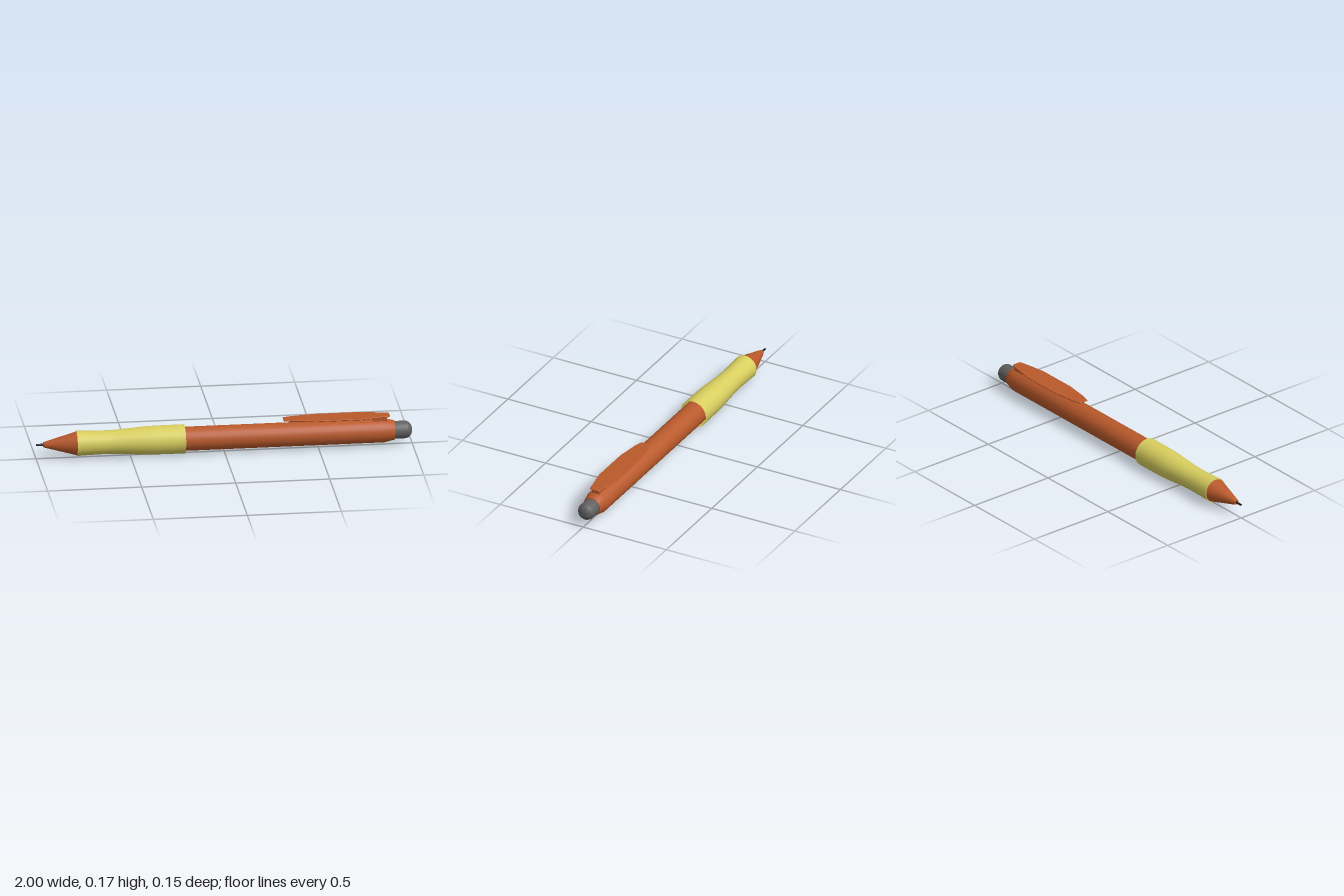
import * as THREE from 'three';
import { toCreasedNormals } from 'three/addons/utils/BufferGeometryUtils.js';

const AXIS_Y = 0.078;
const material = (color, side = THREE.FrontSide) => new THREE.MeshStandardMaterial({ color, side });

// Turned part along x from [x, radius] pairs
function turned(name, profile, mat, segments = 24) {
  const points = profile.map(([x, r]) => new THREE.Vector2(r, x));
  const geometry = toCreasedNormals(new THREE.LatheGeometry(points, segments).rotateZ(-Math.PI / 2), 0.45);
  const mesh = new THREE.Mesh(geometry, mat);
  mesh.name = name;
  mesh.position.y = AXIS_Y;
  return mesh;
}

function block(name, x0, x1, y0, y1, width, mat) {
  const mesh = new THREE.Mesh(new THREE.BoxGeometry(x1 - x0, y1 - y0, width), mat);
  mesh.name = name;
  mesh.position.set((x0 + x1) / 2, (y0 + y1) / 2, 0);
  return mesh;
}

export function createModel() {
  const pen = new THREE.Group();
  pen.name = 'pen';
  const orange = material(0xb9592b);
  const yellow = material(0xd8ce5e, THREE.DoubleSide);
  const grey = material(0x606060);
  const dark = material(0x222222);

  // Writing tip and nose cone
  pen.add(turned('writingTip', [[-1, 0], [-1, 0.005], [-0.95, 0.007]], dark, 12));
  pen.add(turned('noseCone', [[-0.962, 0], [-0.962, 0.013], [-0.94, 0.02], [-0.785, 0.063], [-0.785, 0]], orange));

  // Barrel with tapered rear end
  pen.add(turned('barrel', [
    [-0.78, 0], [-0.78, 0.058], [-0.6, 0.058], [-0.4, 0.064], [0.85, 0.064], [0.9, 0.053], [0.906, 0.05], [0.906, 0],
  ], orange));

  // Soft waisted grip: an open sleeve whose rear lip stands off the barrel
  const gripCurve = new THREE.SplineCurve([
    [-0.785, 0.067], [-0.7, 0.064], [-0.6, 0.063], [-0.5, 0.069], [-0.41, 0.075], [-0.33, 0.0765], [-0.21, 0.077],
  ].map(([x, r]) => new THREE.Vector2(x, r)));
  const gripProfile = gripCurve.getPoints(20).map((p) => [p.x, p.y]);
  pen.add(turned('grip', [[-0.785, 0.058], ...gripProfile], yellow, 20));

  // Push button with rounded end
  const button = [[0.895, 0.047], [0.962, 0.047]];
  for (let i = 1; i <= 8; i++) {
    const a = (i / 8) * Math.PI / 2;
    button.push([0.962 + 0.038 * Math.sin(a), 0.047 * Math.cos(a)]);
  }
  pen.add(turned('pushButton', button, grey));

  // Pocket clip: thin tapered plate, rear post and front nub
  const clip = new THREE.Group();
  clip.name = 'pocketClip';
  const half = [[0.315, 0.025], [0.36, 0.038], [0.49, 0.056], [0.72, 0.056], [0.87, 0.03], [0.88, 0.022]];
  const outline = [...half, ...half.map(([x, z]) => [x, -z]).reverse()];
  const plate = new THREE.Mesh(
    new THREE.ExtrudeGeometry(new THREE.Shape(outline.map(([x, z]) => new THREE.Vector2(x, z))), {
      depth: 0.003, bevelEnabled: true, bevelThickness: 0.002, bevelSize: 0.002, bevelOffset: -0.002, bevelSegments: 1,
    }).rotateX(-Math.PI / 2),
    orange,
  );
  plate.name = 'clipPlate';
  plate.position.y = 0.162;
  clip.add(plate);
  clip.add(block('clipPost', 0.79, 0.865, 0.12, 0.163, 0.044, orange));
  clip.add(block('clipNub', 0.365, 0.415, 0.153, 0.163, 0.04, orange));
  pen.add(clip);
  return pen;
}
